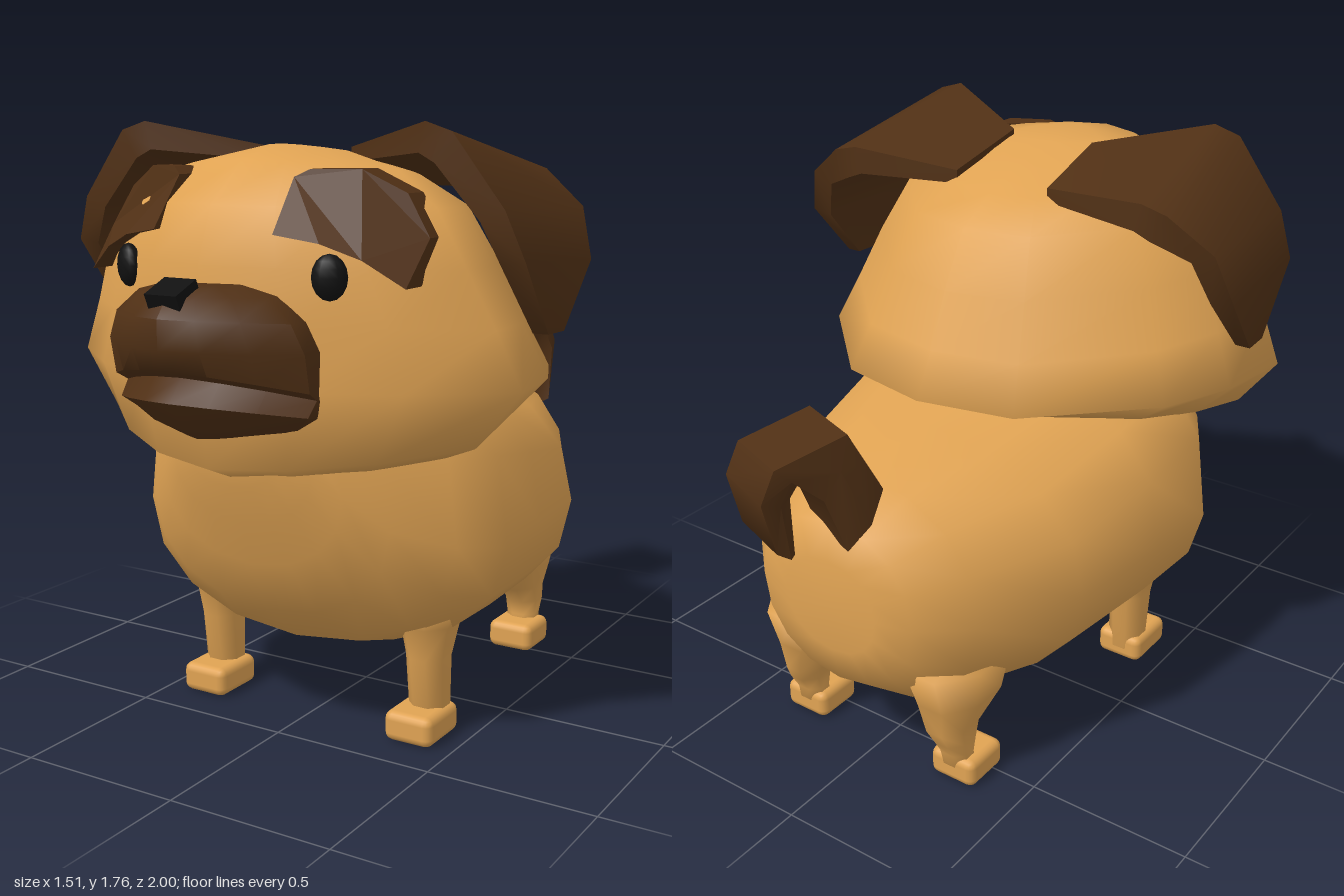
import * as THREE from 'three';
import { toCreasedNormals } from 'three/addons/utils/BufferGeometryUtils.js';
import { RoundedBoxGeometry } from 'three/addons/geometries/RoundedBoxGeometry.js';

const tan = new THREE.MeshStandardMaterial({ color: 0xe0a353 });
const brown = new THREE.MeshStandardMaterial({ color: 0x503015 });
const black = new THREE.MeshStandardMaterial({ color: 0x111111 });

// Closed skin over equal-sized rings of [x, y, z]; the winding is turned outward.
function loft(rings, crease) {
  const n = rings[0].length, last = rings.length - 1;
  const pts = rings.flat();
  const faces = [];
  for (let r = 0; r < last; r++) {
    for (let i = 0; i < n; i++) {
      const a = r * n + i, b = r * n + (i + 1) % n;
      faces.push([a, b, b + n], [a, b + n, a + n]);
    }
  }
  for (const r of [0, last]) {
    const c = pts.length;
    pts.push([0, 1, 2].map(k => rings[r].reduce((s, p) => s + p[k], 0) / n));
    for (let i = 0; i < n; i++) {
      const a = r * n + i, b = r * n + (i + 1) % n;
      faces.push(r ? [a, b, c] : [b, a, c]);
    }
  }
  const v = pts.map(p => new THREE.Vector3(...p));
  const volume = faces.reduce((s, [a, b, c]) => s + v[a].dot(v[b].clone().cross(v[c])), 0);
  if (volume < 0) faces.forEach(f => f.reverse());
  const geo = new THREE.BufferGeometry().setFromPoints(v);
  geo.setIndex(faces.flat());
  if (crease) return toCreasedNormals(geo, crease);
  geo.computeVertexNormals();
  return geo;
}

// Horizontal head-shaped ring: rounded face, widest at the cheeks, narrower back.
const U = [0, 0.34, 0.68, 1, 0.95, 0.82, 0.4, 0];
const V = [0, 0.05, 0.16, 0.32, 0.52, 0.7, 0.95, 1];
function headRing([yFront, yBack, w, zFront, zBack]) {
  const half = U.map((u, i) => [
    u * w,
    THREE.MathUtils.lerp(yFront, yBack, V[i]),
    THREE.MathUtils.lerp(zFront, zBack, V[i]),
  ]);
  return [...half, ...half.slice(1, -1).reverse().map(([x, y, z]) => [-x, y, z])];
}

// Upright body section at depth z, widest at y = mid; a lower power squares the shoulders.
function bodyRing([z, bottom, mid, top, w, power = 0.9]) {
  return Array.from({ length: 16 }, (_, i) => {
    const a = i / 16 * Math.PI * 2, c = Math.cos(a), s = Math.sin(a);
    const e = s > 0 ? power : 0.92;
    return [
      w * Math.sign(c) * Math.abs(c) ** e,
      mid + (s > 0 ? top - mid : bottom - mid) * Math.abs(s) ** e,
      z,
    ];
  });
}

function legRing([y, cx, cz, rx, rz], side) {
  return Array.from({ length: 8 }, (_, i) => {
    const a = (i + 0.5) / 8 * Math.PI * 2;
    return [side * (cx + rx * Math.cos(a)), y, cz + rz * Math.sin(a)];
  });
}

export function createModel() {
  const group = new THREE.Group();
  const add = (name, geo, mat) => {
    const mesh = new THREE.Mesh(geo, mat);
    mesh.name = name;
    group.add(mesh);
    return mesh;
  };

  // Barrel body: [z, bottom, middle, top, half width, shoulder power]
  add('body', loft([
    [-0.79, 0.45, 0.6, 0.74, 0.16], [-0.765, 0.34, 0.6, 0.85, 0.27],
    [-0.64, 0.24, 0.59, 0.95, 0.4], [-0.34, 0.2, 0.59, 0.98, 0.55],
    [0, 0.22, 0.6, 1.06, 0.6, 0.8], [0.26, 0.235, 0.6, 1.1, 0.615, 0.7],
    [0.4, 0.27, 0.62, 1.08, 0.53, 0.7], [0.54, 0.39, 0.68, 1.06, 0.4, 0.7],
    [0.62, 0.55, 0.78, 1.04, 0.3, 0.7], [0.66, 0.68, 0.85, 1.02, 0.23, 0.7],
    [0.71, 0.79, 0.9, 1, 0.16],
  ].map(bodyRing)), tan);

  // Head: [y front, y back, half width, z front, z back]
  add('head', loft([
    [0.81, 1.0, 0.5, 0.69, -0.18], [0.86, 1.04, 0.61, 0.81, -0.29],
    [1.08, 1.07, 0.735, 0.83, -0.38], [1.25, 1.2, 0.665, 0.82, -0.31],
    [1.4, 1.36, 0.595, 0.83, -0.24], [1.55, 1.52, 0.5, 0.77, -0.15],
    [1.66, 1.59, 0.35, 0.63, -0.02], [1.7, 1.64, 0.15, 0.45, 0.13],
  ].map(headRing)), tan);

  // Muzzle with the arched mouth groove between the lips
  add('muzzle', loft([
    [0.95, 0.97, 0.13, 0.85, 0.5], [0.985, 0.95, 0.24, 0.9, 0.42],
    [1.06, 0.95, 0.305, 0.96, 0.42], [1.12, 0.95, 0.31, 0.91, 0.42],
    [1.145, 0.97, 0.315, 0.97, 0.42], [1.2, 1.17, 0.315, 1, 0.42],
    [1.28, 1.24, 0.28, 1, 0.45], [1.33, 1.32, 0.21, 0.96, 0.5],
    [1.355, 1.35, 0.11, 0.91, 0.55],
  ].map(headRing), 0.8), brown);

  const nose = add('nose', new THREE.BoxGeometry(0.1, 0.045, 0.09), black);
  nose.position.set(0, 1.335, 0.935);
  nose.rotation.x = 0.4;

  // Curled tail, turned to the left: outer [y, z], inner [y, z], x
  const tail = [
    [0.94, -0.62, 0.8, -0.76, 0], [1.13, -0.71, 0.96, -0.8, 0.04],
    [1.09, -0.92, 1, -0.82, 0.11], [1, -0.96, 0.96, -0.84, 0.125], [0.83, -0.91, 0.78, -0.83, 0.13],
  ].map(([yo, zo, yi, zi, x]) => [[0, -0.1], [0, 0.1], [0.5, 0.12], [1, 0.08], [1, -0.08], [0.5, -0.12]]
    .map(([t, d]) => [x + d, yo + (yi - yo) * t, zo + (zi - zo) * t + d * 0.38]));
  add('tail', loft(tail, 0.8), brown);

  for (const side of [1, -1]) {
    const label = side > 0 ? 'left' : 'right';

    // Folded ear: front [x, y, z], back [x, y, z], inward offset [x, y]
    const ear = [
      [0.14, 1.69, 0.31, 0.16, 1.62, 0.04, 0, -0.04],
      [0.46, 1.76, 0.47, 0.5, 1.65, -0.02, -0.02, -0.08],
      [0.54, 1.735, 0.475, 0.58, 1.63, -0.02, -0.05, -0.08],
      [0.69, 1.54, 0.47, 0.71, 1.53, 0.02, -0.07, -0.03],
      [0.74, 1.41, 0.45, 0.755, 1.39, 0.06, -0.07, -0.01],
      [0.74, 1.21, 0.3, 0.745, 1.21, 0.21, -0.045, 0],
    ].map(([xf, yf, zf, xb, yb, zb, dx, dy]) => [
      [xf, yf, zf], [xb, yb, zb], [xb + dx, yb + dy, zb], [xf + dx, yf + dy, zf],
    ].map(([x, y, z]) => [side * x, y, z]));
    add(label + 'Ear', loft(ear, 0.8), brown);

    // Brow plate, bent to lie along the forehead
    const outline = [[0.19, 1.48], [0.185, 1.62], [0.22, 1.64], [0.34, 1.64], [0.45, 1.58],
      [0.52, 1.47], [0.51, 1.35], [0.41, 1.42], [0.31, 1.46]];
    const brow = new THREE.ExtrudeGeometry(
      new THREE.Shape(outline.map(([x, y]) => new THREE.Vector2(side * x, y))),
      { depth: 0.08, bevelEnabled: false });
    const p = brow.attributes.position;
    for (let i = 0; i < p.count; i++) {
      const d = Math.abs(p.getX(i)) - 0.19, y = p.getY(i);
      p.setZ(i, p.getZ(i) + 0.69 - 0.2 * d - 1.5 * d * d - 0.78 * (y - 1.48));
    }
    brow.computeVertexNormals();
    add(label + 'Brow', brow, brown);

    const eye = add(label + 'Eye', new THREE.SphereGeometry(1, 12, 8), black);
    eye.scale.set(0.047, 0.06, 0.03);
    eye.position.set(side * 0.325, 1.375, 0.715);
    eye.rotation.y = side * 0.5;

    // Legs flaring into the body: [y, x, z, x radius, z radius]
    const legs = {
      FrontLeg: [[0.44, 0.36, 0.25, 0.13, 0.15], [0.34, 0.37, 0.255, 0.085, 0.1],
        [0.24, 0.37, 0.26, 0.065, 0.075], [0.03, 0.37, 0.25, 0.06, 0.053]],
      BackLeg: [[0.42, 0.26, -0.54, 0.14, 0.2], [0.29, 0.265, -0.54, 0.11, 0.16],
        [0.2, 0.27, -0.585, 0.07, 0.1], [0.15, 0.28, -0.59, 0.06, 0.07],
        [0.1, 0.28, -0.585, 0.055, 0.045], [0.03, 0.28, -0.57, 0.055, 0.05]],
    };
    for (const [name, rows] of Object.entries(legs)) {
      add(label + name, loft(rows.map(r => legRing(r, side))), tan);
    }
    for (const [name, x, z, depth] of [['FrontPaw', 0.365, 0.293, 0.185], ['BackPaw', 0.285, -0.54, 0.16]]) {
      add(label + name, new RoundedBoxGeometry(0.155, 0.09, depth, 2, 0.025), tan)
        .position.set(side * x, 0.045, z);
    }
  }
  return group;
}
